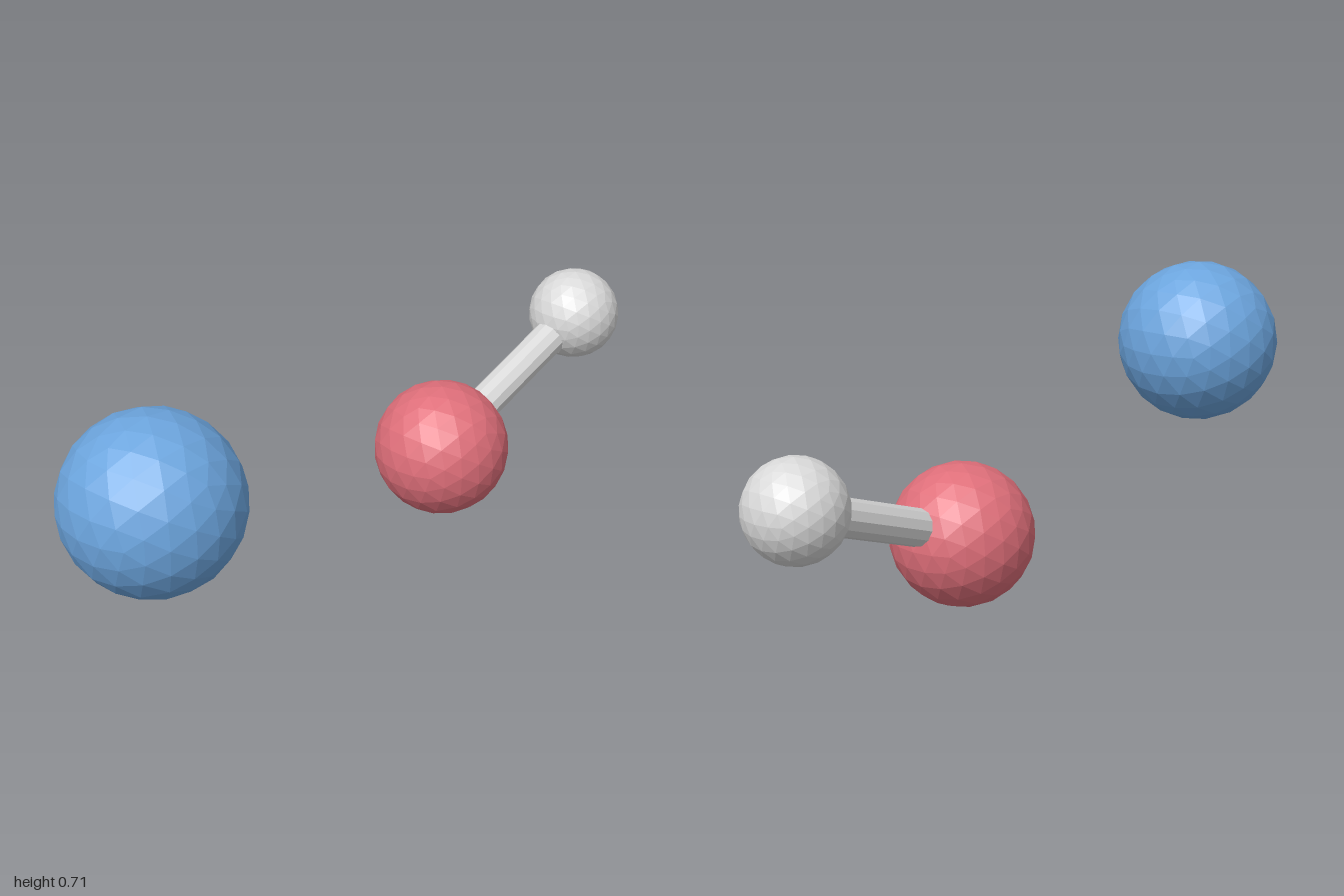
import * as THREE from 'three';

const flat = (name, color) => {
  const m = new THREE.MeshStandardMaterial({ color, flatShading: true });
  m.name = name;
  return m;
};

export function createModel() {
  const blue = flat('blue', 0x6ca5de);
  const red = flat('red', 0xdf6f7a);
  const lightGrey = flat('lightGrey', 0xd9d9d9);

  const model = new THREE.Group();
  model.name = 'molecule';

  // Faceted ball for one atom
  const addAtom = (name, radius, position, material) => {
    const atom = new THREE.Mesh(new THREE.IcosahedronGeometry(radius, 3), material);
    atom.name = name;
    atom.position.copy(position);
    model.add(atom);
  };

  // Twelve-sided rod joining two atom centres
  const addBond = (name, from, to, radius, material) => {
    const axis = to.clone().sub(from);
    const bond = new THREE.Mesh(
      new THREE.CylinderGeometry(radius, radius, axis.length(), 12), material);
    bond.name = name;
    bond.position.copy(from).add(to).multiplyScalar(0.5);
    bond.quaternion.setFromUnitVectors(new THREE.Vector3(0, 1, 0), axis.normalize());
    model.add(bond);
  };

  const bluePos = new THREE.Vector3(-0.773, 0.481, 0);
  const redPos = new THREE.Vector3(0.296, 0.184, -0.031);
  const greyPos = new THREE.Vector3(0.872, 0.389, -0.031);

  addAtom('freeAtom', 0.227, bluePos, blue);
  addAtom('bondedAtom', 0.184, redPos, red);
  addAtom('smallAtom', 0.128, greyPos, lightGrey);
  addBond('bond', redPos, greyPos, 0.048, lightGrey);

  return model;
}
